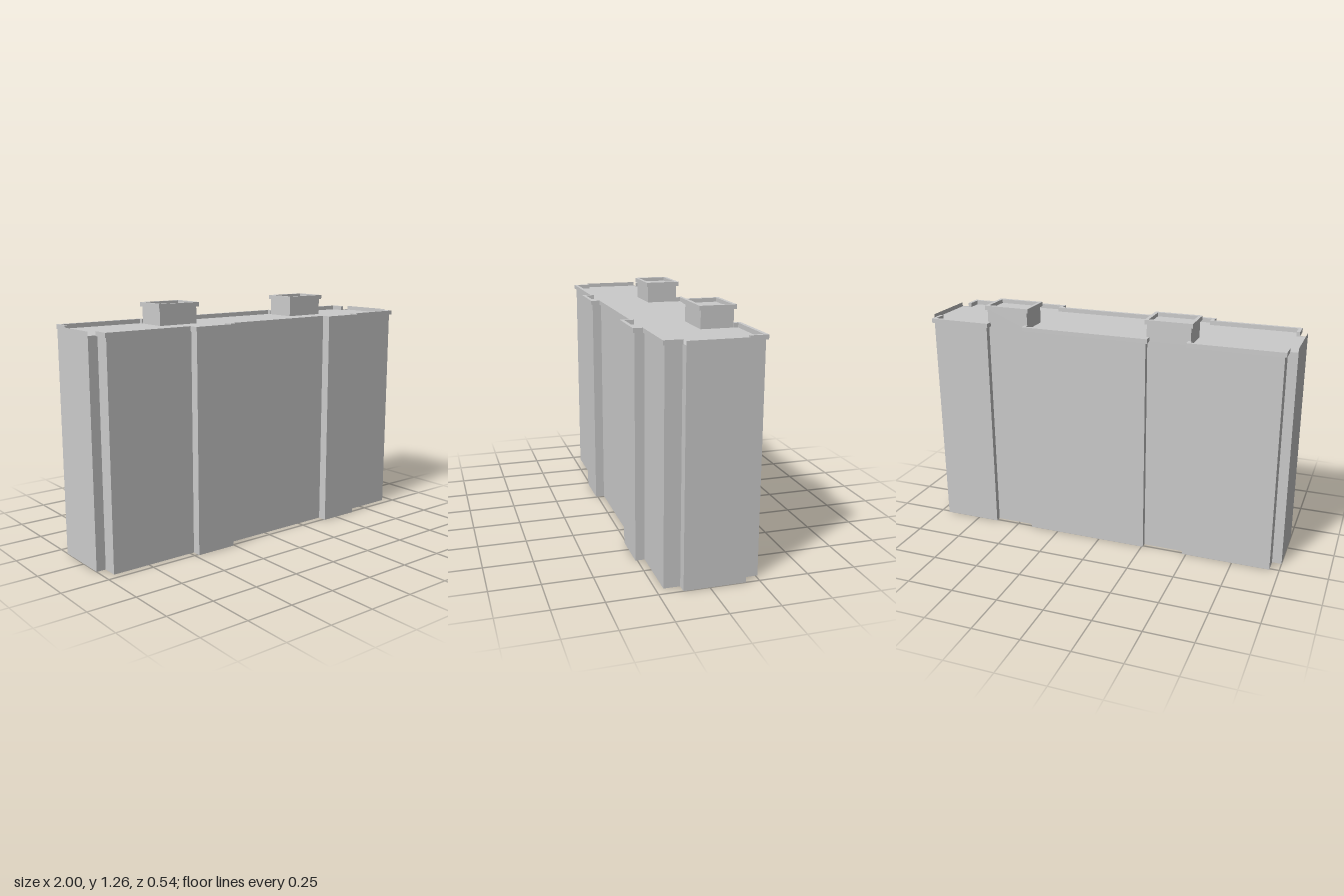
import * as THREE from 'three';

const WALL_TOP = 1.155, RIM_TOP = 1.175, RIM = 0.018;
const material = new THREE.MeshStandardMaterial({ color: 0xcccccc, flatShading: true, side: THREE.DoubleSide });

function add(parent, name, geometry) {
  const mesh = new THREE.Mesh(geometry, material);
  mesh.name = name;
  parent.add(mesh);
  return mesh;
}

// Plan points are [x, z]; the shape lies in x / -z and is turned flat
const planShape = pts => new THREE.Shape(pts.map(([x, z]) => new THREE.Vector2(x, -z)));

function slab(pts, y0, y1, hole) {
  const shape = planShape(pts);
  if (hole) shape.holes.push(planShape(hole));
  return new THREE.ExtrudeGeometry(shape, { depth: y1 - y0, bevelEnabled: false })
    .rotateX(-Math.PI / 2).translate(0, y0, 0);
}

// Vertical wall panel between two plan points
function panel([x0, z0], [x1, z1], height) {
  const dx = x1 - x0, dz = z1 - z0;
  return new THREE.PlaneGeometry(Math.hypot(dx, dz), height)
    .rotateY(Math.atan2(-dz, dx))
    .translate((x0 + x1) / 2, height / 2, (z0 + z1) / 2);
}

// Path shifted sideways, to the left of travel in plan, with mitred right-angle corners
function offsetPath(path, d) {
  const normal = i => {
    const dx = path[i + 1][0] - path[i][0], dz = path[i + 1][1] - path[i][1];
    const l = Math.hypot(dx, dz);
    return [dz / l, -dx / l];
  };
  return path.map(([x, z], i) => {
    const a = normal(Math.max(i - 1, 0)), b = normal(Math.min(i, path.length - 2));
    const inner = i > 0 && i < path.length - 1;
    return [x + d * (inner ? a[0] + b[0] : a[0]), z + d * (inner ? a[1] + b[1] : a[1])];
  });
}

const rectangle = (x0, x1, z0, z1) => [[x0, z0], [x1, z0], [x1, z1], [x0, z1]];

export function createModel() {
  const model = new THREE.Group();
  model.name = 'apartmentBlock';
  const bays = [[-0.478, -0.257], [0.412, 0.633]];

  // Footprint: front with projecting bays, back with shallow recesses, stepped ends
  const front = [[-0.95, 0.13], [-0.95, 0.212]];
  const back = [[0.95, -0.18], [0.95, -0.26]];
  for (const [a, b] of bays) front.push([a, 0.212], [a, 0.26], [b, 0.26], [b, 0.212]);
  for (const [a, b] of [...bays].reverse()) back.push([b, -0.26], [b, -0.23], [a, -0.23], [a, -0.26]);
  front.push([0.95, 0.212], [0.95, 0.13]);
  back.push([-0.95, -0.26], [-0.95, -0.18]);
  const footprint = [...front, [1, 0.13], [1, -0.18], ...back, [-1, -0.18], [-1, 0.13]];

  // Outer walls, open underneath; the end walls rise to the rim height
  const walls = new THREE.Group();
  walls.name = 'walls';
  model.add(walls);
  footprint.forEach((p, i) => {
    const q = footprint[(i + 1) % footprint.length];
    const isEnd = Math.abs(p[0]) === 1 && p[0] === q[0];
    add(walls, isEnd ? 'endWall' : 'wallPanel', panel(p, q, isEnd ? RIM_TOP : WALL_TOP));
  });

  // Flat roof
  add(model, 'roof', new THREE.ShapeGeometry(planShape(footprint)).rotateX(-Math.PI / 2).translate(0, 1.152, 0));

  // Narrow soffits under the end projections
  for (const s of [-1, 1]) {
    add(model, 'endSoffit', new THREE.PlaneGeometry(0.05, 0.31).rotateX(Math.PI / 2).translate(s * 0.975, 0, -0.025));
  }

  // Parapet rims: one along the front, three along the back between the recesses
  const [b0, b1] = bays;
  const rims = [
    front,
    [[0.95, -0.18], [0.95, -0.26], [b1[1], -0.26], [b1[1], -0.23]],
    [[b1[0], -0.23], [b1[0], -0.26], [b0[1], -0.26], [b0[1], -0.23]],
    [[b0[0], -0.23], [b0[0], -0.26], [-0.95, -0.26], [-0.95, -0.18]],
  ];
  for (const path of rims) {
    const outer = offsetPath(path, -0.01), inner = offsetPath(path, RIM - 0.01);
    add(model, 'parapetRim', slab([...outer, ...inner.reverse()], WALL_TOP - 0.003, RIM_TOP));
  }

  // Roof houses above the back recesses, each with a raised rim
  for (const [a, b] of bays) {
    const house = new THREE.Group();
    house.name = 'roofHouse';
    model.add(house);
    add(house, 'houseBody', slab(rectangle(a - 0.004, b + 0.004, -0.23, -0.063), 1.15, 1.245));
    add(house, 'houseRim', slab(rectangle(a - 0.014, b + 0.014, -0.24, -0.053), 1.242, 1.265,
      rectangle(a + 0.004, b - 0.004, -0.222, -0.071)));
  }
  return model;
}
